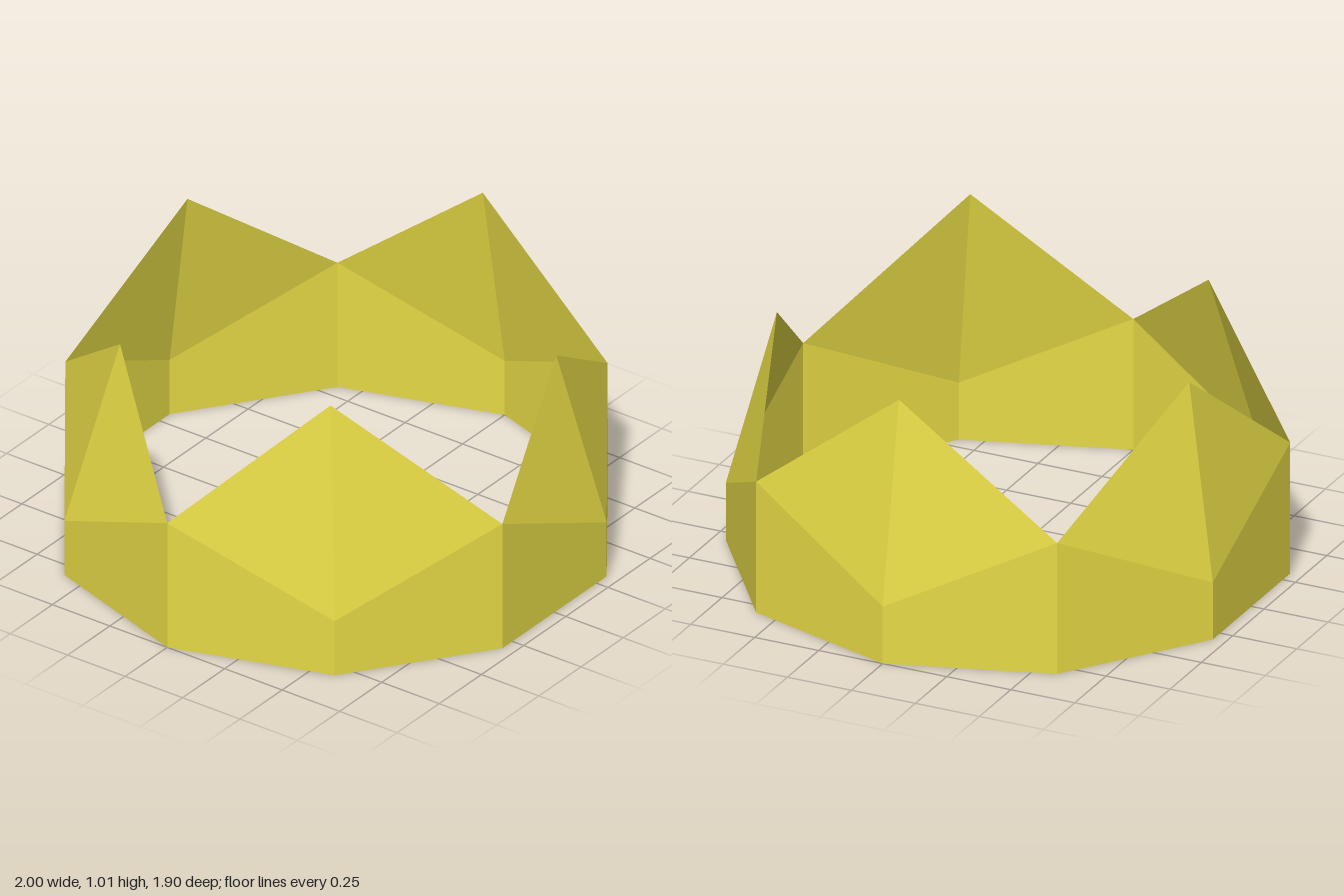
import * as THREE from 'three';

const SIDES = 10;
const LOW = 0.22;
const VALLEY = 0.505;

// Tip of each of the five points, going around from +x towards +z
const TIPS = [
  [0.87, 0.965, 0],
  [0.23, 0.88, 0.79],
  [-0.7, 1.012, 0.49],
  [-0.64, 0.9, -0.47],
  [0.25, 0.945, -0.83],
];

const material = new THREE.MeshStandardMaterial({
  color: 0xe5d945,
  flatShading: true,
  side: THREE.DoubleSide,
});

// Corner i of the ten-sided ring at height y
function corner(i, y) {
  const a = (i / SIDES) * Math.PI * 2;
  return [Math.cos(a), y, Math.sin(a)];
}

// Corners alternate between the foot of a point and the valley between points
const rim = (i) => corner(i, i % 2 === 0 ? LOW : VALLEY);

function makeMesh(name, triangles) {
  const geometry = new THREE.BufferGeometry();
  geometry.setAttribute('position', new THREE.Float32BufferAttribute(triangles.flat(2), 3));
  geometry.computeVertexNormals();
  const mesh = new THREE.Mesh(geometry, material);
  mesh.name = name;
  return mesh;
}

export function createModel() {
  const crown = new THREE.Group();
  crown.name = 'crown';

  // Upright band with a zigzag rim
  const band = [];
  for (let i = 0; i < SIDES; i++) {
    const b0 = corner(i, 0), b1 = corner(i + 1, 0);
    band.push([b0, rim(i), rim(i + 1)], [b0, rim(i + 1), b1]);
  }
  crown.add(makeMesh('band', band));

  // Five folded points leaning inwards
  TIPS.forEach((tip, n) => {
    const i = n * 2;
    crown.add(makeMesh(`point${n + 1}`, [
      [rim(i + SIDES - 1), tip, rim(i)],
      [rim(i), tip, rim(i + 1)],
    ]));
  });

  return crown;
}
